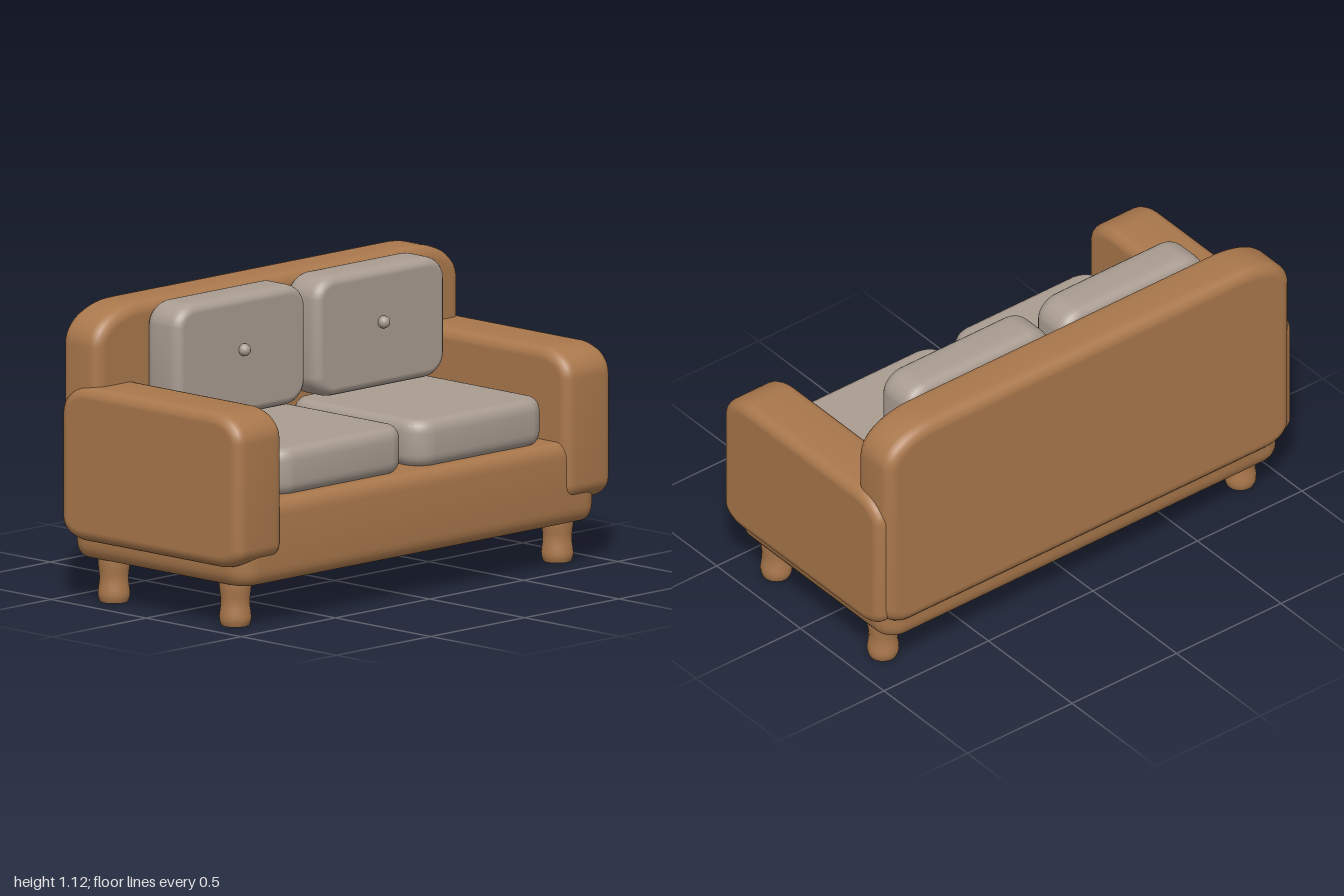
import * as THREE from 'three';
import { toCreasedNormals } from 'three/addons/utils/BufferGeometryUtils.js';

const leather = new THREE.MeshStandardMaterial({ color: 0xaa784c });
leather.name = 'tan leather';
const fabric = new THREE.MeshStandardMaterial({ color: 0xaa9d92 });
fabric.name = 'warm grey fabric';

// Soft block centred on the origin: an outline in XY with elliptical corners
// (top and bottom given as [rx, ry]), thickness d along Z, rounded rim of size b by t.
function softBlock(w, h, d, b, t, top, bottom = top) {
  const x = w / 2 - b, y = h / 2 - b;
  const [tx, ty] = top.map(r => r - b), [bx, by] = bottom.map(r => r - b);
  const shape = new THREE.Shape();
  shape.moveTo(-x + bx, -y);
  shape.lineTo(x - bx, -y);
  shape.absellipse(x - bx, -y + by, bx, by, -Math.PI / 2, 0, false);
  shape.lineTo(x, y - ty);
  shape.absellipse(x - tx, y - ty, tx, ty, 0, Math.PI / 2, false);
  shape.lineTo(-x + tx, y);
  shape.absellipse(-x + tx, y - ty, tx, ty, Math.PI / 2, Math.PI, false);
  shape.lineTo(-x, -y + by);
  shape.absellipse(-x + bx, -y + by, bx, by, Math.PI, Math.PI * 1.5, false);
  const raw = new THREE.ExtrudeGeometry(shape, {
    depth: d - 2 * t, bevelEnabled: true, bevelSize: b, bevelThickness: t,
    bevelSegments: 5, curveSegments: 8,
  });
  raw.translate(0, 0, t - d / 2);
  const geo = toCreasedNormals(raw, 0.8);
  // Keep the two broad faces flat so the rim blends into them
  const p = geo.attributes.position, n = geo.attributes.normal;
  for (let i = 0; i < p.count; i++) {
    if (Math.abs(p.getZ(i)) > d / 2 - 1e-4) n.setXYZ(i, 0, 0, Math.sign(p.getZ(i)));
  }
  return geo;
}

export function createModel() {
  const sofa = new THREE.Group();
  sofa.name = 'sofa';
  const add = (name, geo, mat, x, y, z) => {
    const mesh = new THREE.Mesh(geo, mat);
    mesh.name = name;
    mesh.position.set(x, y, z);
    sofa.add(mesh);
  };

  // Seat base
  const base = softBlock(1.9, 0.93, 0.315, 0.04, 0.06, [0.09, 0.09]).rotateX(-Math.PI / 2);
  add('seatBase', base, leather, 0, 0.3225, 0);

  // Backrest, with broad rounded top corners
  const back = softBlock(1.935, 0.88, 0.195, 0.05, 0.045, [0.24, 0.15], [0.12, 0.09]);
  add('backrest', back, leather, 0, 0.685, -0.3875);

  // Arms, cushions, buttons and legs, mirrored left and right
  const arm = softBlock(0.945, 0.59, 0.245, 0.045, 0.045, [0.15, 0.11], [0.12, 0.08]).rotateY(Math.PI / 2);
  const seat = softBlock(0.7, 0.71, 0.18, 0.04, 0.05, [0.1, 0.1]).rotateX(-Math.PI / 2);
  const pillow = softBlock(0.69, 0.46, 0.175, 0.035, 0.045, [0.1, 0.09]);
  const button = new THREE.SphereGeometry(0.024, 16, 12);
  const leg = new THREE.LatheGeometry(new THREE.SplineCurve([
    [0.053, 0], [0.061, 0.03], [0.055, 0.09], [0.061, 0.15], [0.06, 0.2],
  ].map(([r, y]) => new THREE.Vector2(r, y))).getPoints(14), 20);
  const foot = new THREE.CircleGeometry(0.053, 20).rotateX(Math.PI / 2);

  for (const [side, s] of [['left', 1], ['right', -1]]) {
    add(side + 'Arm', arm, leather, s * 0.8735, 0.535, 0.008);
    add(side + 'SeatCushion', seat, fabric, s * 0.373, 0.565, 0.065);
    add(side + 'BackCushion', pillow, fabric, s * 0.37, 0.895, -0.2025);
    add(side + 'CushionButton', button, fabric, s * 0.37, 0.917, -0.107);
    for (const [end, z] of [['Front', 0.325], ['Back', -0.313]]) {
      add(side + end + 'Leg', leg, leather, s * 0.855, 0, z);
      add(side + end + 'LegSole', foot, leather, s * 0.855, 0, z);
    }
  }
  return sofa;
}
